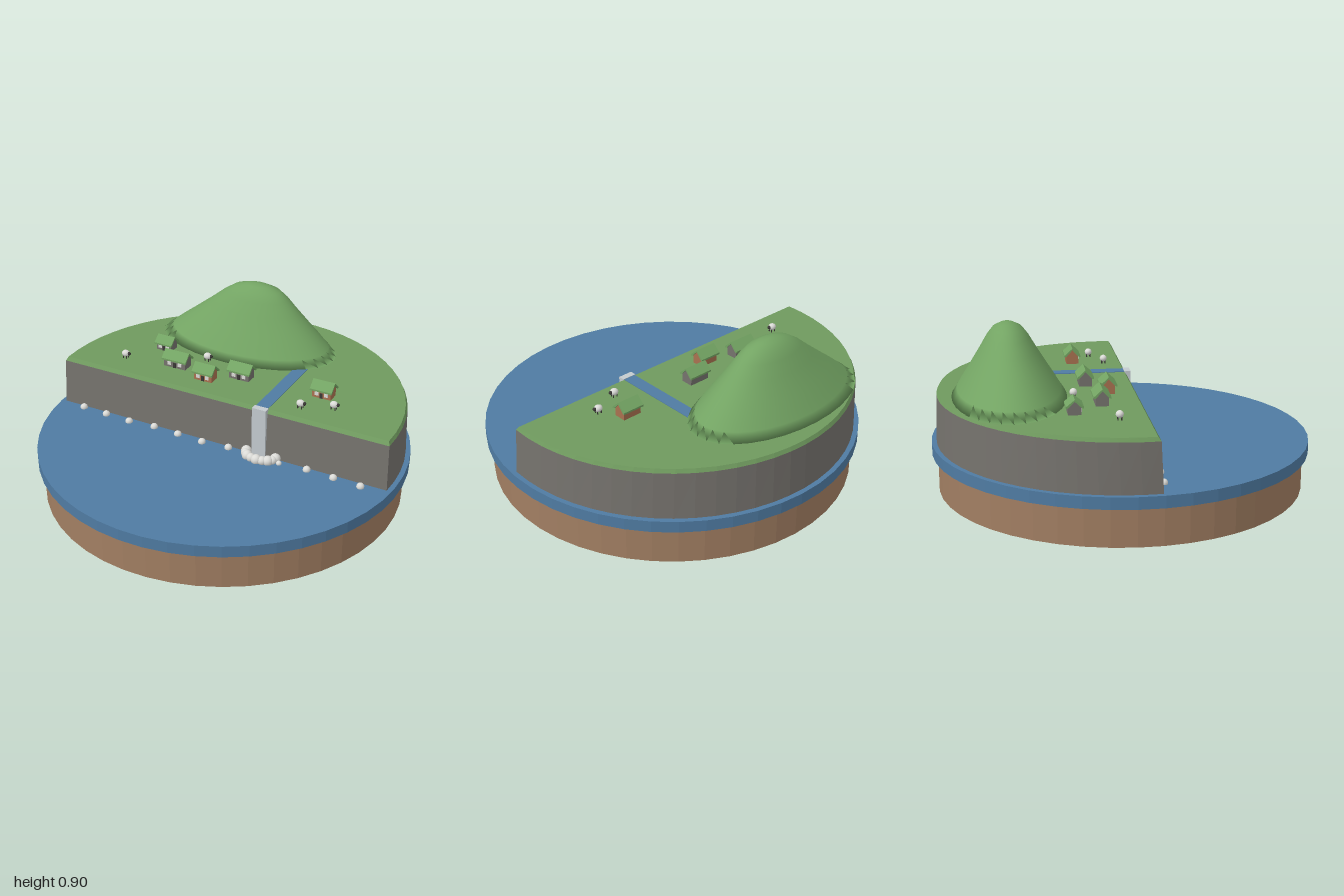
import * as THREE from 'three';
import { mergeVertices } from 'three/addons/utils/BufferGeometryUtils.js';

const mat = (name, color, flatShading = false) => {
  const m = new THREE.MeshStandardMaterial({ color, flatShading });
  m.name = name;
  return m;
};

const ANGLE = -Math.PI / 9; // the cliff line is turned 20 degrees
const GROUND = 0.535;

export function createModel() {
  const grass = mat('grass green', 0x6f9a5e);
  const hillGreen = mat('hill green', 0x73a463);
  const rock = mat('rock grey', 0x75726d);
  const water = mat('water blue', 0x4f7ba2);
  const earth = mat('earth brown', 0xa17e62);
  const white = mat('foam white', 0xdcdcd8);
  const fall = mat('waterfall grey', 0xc3cace);
  const tan = mat('wall tan', 0xa8714f);
  const dark = mat('dark grey', 0x3a3836);

  const model = new THREE.Group();
  model.name = 'coastalIsland';
  const land = new THREE.Group(); // everything aligned with the cliff
  land.name = 'land';
  land.rotation.y = ANGLE;
  model.add(land);

  const add = (parent, name, geo, material, x = 0, y = 0, z = 0) => {
    const m = new THREE.Mesh(geo, material);
    m.name = name;
    m.position.set(x, y, z);
    parent.add(m);
    return m;
  };

  // Round base and sea
  const disc = (r, h) => {
    const g = new THREE.CylinderGeometry(r, r, h, 48).toNonIndexed();
    g.computeVertexNormals();
    return g;
  };
  add(model, 'earthBase', disc(0.97, 0.2), earth, 0, 0.1, 0);
  add(model, 'sea', disc(1, 0.062), water, 0, 0.231, 0);

  // Circle segment with a straight front at z = d, as stacked rings [y, radius, d]
  const N = 32;
  const segmentPrism = (rings) => {
    const pos = [], idx = [], n = N + 1;
    for (const [y, r, d] of rings) {
      const a = Math.asin(d / r);
      for (let i = 0; i < n; i++) {
        const t = a - (Math.PI + 2 * a) * (i / N);
        pos.push(r * Math.cos(t), y, r * Math.sin(t));
      }
    }
    for (let k = 0; k < rings.length - 1; k++) {
      for (let i = 0; i < n; i++) {
        const a = k * n + i, b = k * n + (i + 1) % n;
        idx.push(a, b, b + n, a, b + n, a + n);
      }
    }
    const top = (rings.length - 1) * n;
    for (let i = 1; i < n - 1; i++) idx.push(top, top + i, top + i + 1);
    const g = new THREE.BufferGeometry();
    g.setAttribute('position', new THREE.Float32BufferAttribute(pos, 3));
    g.setIndex(idx);
    const flat = g.toNonIndexed();
    flat.computeVertexNormals();
    return flat;
  };
  add(land, 'cliff', segmentPrism([[0.25, 0.974, 0.08], [0.515, 0.965, 0.067]]), rock);
  add(land, 'grassTop', segmentPrism([[0.515, 0.965, 0.067], [GROUND, 0.955, 0.053]]), grass);

  // Hill: stretched lathe whose centre drifts sideways towards the peak
  const profile = [[0, 0], [1, 0], [0.9, 0.045], [0.82, 0.085], [0.69, 0.145], [0.5, 0.235],
    [0.37, 0.3], [0.26, 0.342], [0.13, 0.364], [0, 0.371]].map(([x, y]) => new THREE.Vector2(x, y));
  let hillGeo = new THREE.LatheGeometry(profile, 32);
  hillGeo.scale(0.527, 1, 0.295);
  const hp = hillGeo.attributes.position;
  for (let i = 0; i < hp.count; i++) hp.setX(i, hp.getX(i) + 0.15 * Math.min(hp.getY(i), 0.36));
  hillGeo.deleteAttribute('uv');
  hillGeo.deleteAttribute('normal');
  hillGeo = mergeVertices(hillGeo, 1e-4);
  hillGeo.computeVertexNormals();
  const hill = add(model, 'hill', hillGeo, hillGreen, 0.055, GROUND - 0.001, -0.61);
  hill.rotation.y = ANGLE;

  // Stream, waterfall and foam
  add(land, 'stream', new THREE.BoxGeometry(0.07, 0.006, 0.52), water, 0.25, GROUND, -0.205);
  add(land, 'waterfall', new THREE.BoxGeometry(0.08, 0.28, 0.035), fall, 0.25, 0.4, 0.07);
  const ball = new THREE.SphereGeometry(1, 12, 8);
  for (let i = 0; i < 9; i++) {
    const t = (i / 8) * Math.PI;
    const r = i % 2 ? 0.025 : 0.029;
    add(land, 'foam', ball, white, 0.268 + 0.085 * Math.cos(t), 0.275, 0.092 + 0.055 * Math.sin(t))
      .scale.setScalar(r);
  }

  // Pale stones along the foot of the cliff
  for (let i = 0; i < 12; i++) {
    if (i === 7) continue;
    const r = i === 8 ? 0.015 : 0.021;
    add(land, 'shoreStone', ball, white, -0.836 + 0.1525 * i, 0.267, 0.1 + (i % 3) * 0.007)
      .scale.setScalar(r);
  }

  // Houses: gabled walls, chevron roof and small windows
  const extrudeAlongX = (points, length) => {
    const shape = new THREE.Shape(points.map(([x, y]) => new THREE.Vector2(x, y)));
    const g = new THREE.ExtrudeGeometry(shape, { depth: length, bevelEnabled: false });
    g.translate(0, 0, -length / 2);
    return g.rotateY(Math.PI / 2);
  };
  const house = (x, z, length, height, wall) => {
    const h = new THREE.Group();
    h.name = 'house';
    h.position.set(x, GROUND, z);
    h.rotation.y = ANGLE;
    const eave = height * 0.53, w = 0.033, len = length - 0.018;
    add(h, 'walls', extrudeAlongX([[-w, 0], [w, 0], [w, eave], [0, height - 0.008], [-w, eave]], len), wall);
    add(h, 'roof', extrudeAlongX([[-0.044, eave - 0.008], [-w, eave - 0.004], [0, height - 0.01], [w, eave - 0.004],
      [0.044, eave - 0.008], [0.044, eave + 0.002], [0, height], [-0.044, eave + 0.002]], length), hillGreen);
    for (const s of [-1, 1]) {
      add(h, 'window', new THREE.BoxGeometry(0.022, 0.02, 0.004), white, s * len * 0.25, 0.023, w + 0.001);
    }
    add(h, 'door', new THREE.BoxGeometry(0.016, 0.03, 0.004), dark, 0, 0.015, w + 0.001);
    model.add(h);
  };
  house(-0.39, -0.455, 0.108, 0.08, rock);
  house(-0.295, -0.26, 0.15, 0.09, rock);
  house(-0.12, -0.135, 0.125, 0.09, tan);
  house(0.07, -0.175, 0.137, 0.09, rock);
  house(0.525, -0.035, 0.125, 0.09, tan);

  // Sheep
  for (const [x, z, turn] of [[-0.595, -0.31, -0.4], [-0.14, -0.34, -0.4], [0.415, 0.11, -0.4], [0.587, 0.1, -0.4]]) {
    const s = new THREE.Group();
    s.name = 'sheep';
    s.position.set(x, GROUND, z);
    s.rotation.y = turn;
    add(s, 'body', ball, white, 0, 0.028, 0).scale.set(0.023, 0.019, 0.02);
    add(s, 'head', ball, dark, 0.022, 0.03, 0).scale.setScalar(0.01);
    for (const sx of [-1, 1]) {
      for (const sz of [-1, 1]) {
        add(s, 'leg', new THREE.CylinderGeometry(0.003, 0.003, 0.018, 6), dark, sx * 0.011, 0.009, sz * 0.009);
      }
    }
    model.add(s);
  }
  return model;
}
